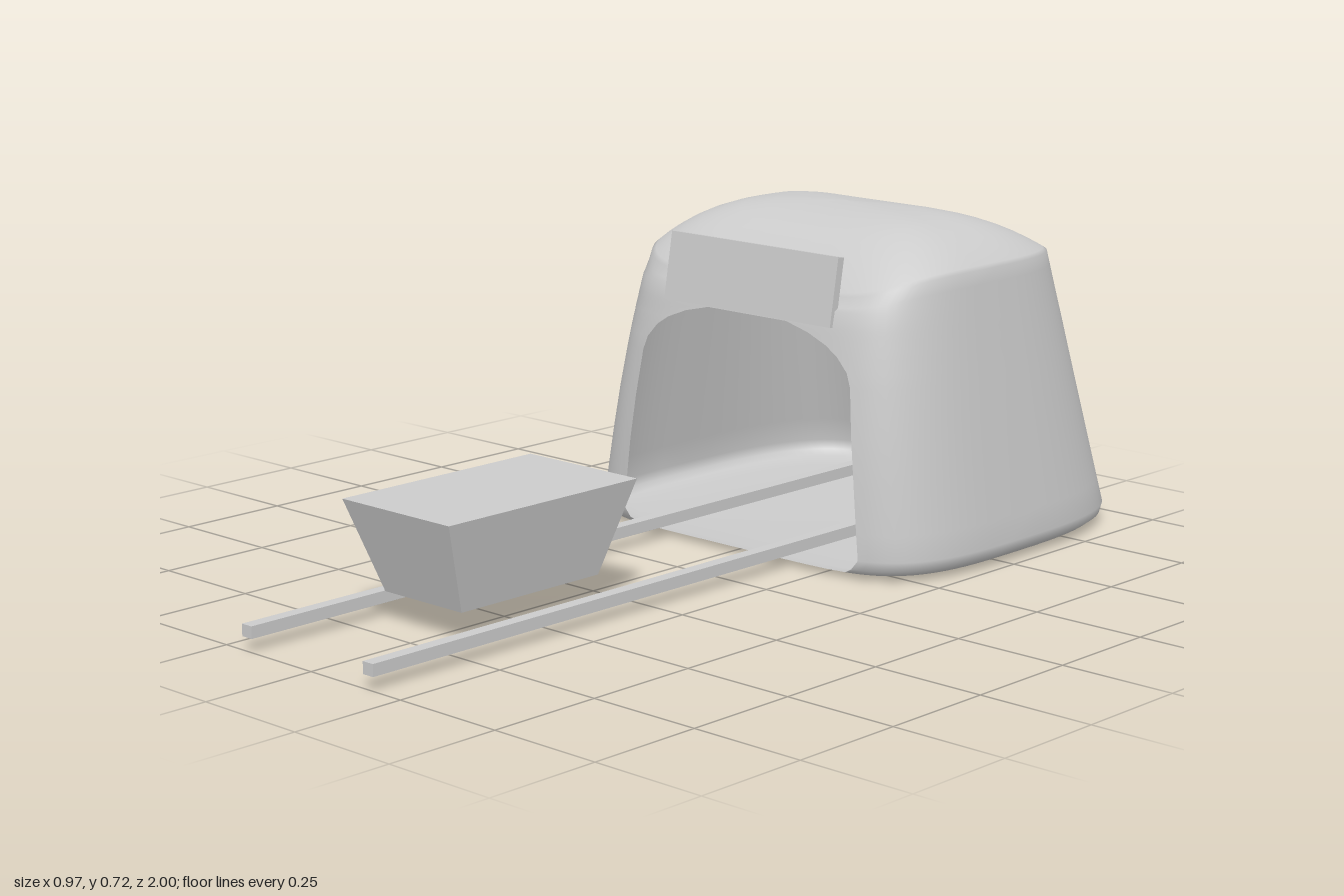
import * as THREE from 'three';

const grey = new THREE.MeshStandardMaterial({ color: 0xcccccc, side: THREE.DoubleSide });
const ZC = -0.5175; // z of the shelter's axis

function add(parent, name, geometry, x, y, z) {
  const mesh = new THREE.Mesh(geometry, grey);
  mesh.name = name;
  mesh.position.set(x, y, z);
  parent.add(mesh);
  return mesh;
}

// Half width of the doorway at each height: [y, w]
const door = [[0, 0.29], [0.022, 0.315], [0.045, 0.33], [0.2, 0.315], [0.3, 0.303], [0.4, 0.291],
  [0.43, 0.28], [0.46, 0.253], [0.48, 0.222], [0.5, 0.172], [0.515, 0.11]];
const DOOR_TOP = 0.515, DOOR_X = 0.02;
function doorWidth(y) {
  for (let i = 1; i < door.length; i++) {
    const [y0, w0] = door[i - 1], [y1, w1] = door[i];
    if (y <= y1) return w0 + (w1 - w0) * (y - y0) / (y1 - y0);
  }
  return door.at(-1)[1];
}

// Rounded shelter: superellipse rings from the floor centre to the roof centre, with a doorway left open
function shelterGeometry() {
  const ARC = 72, PANEL = 12, N = ARC + PANEL;
  const rows = []; // t: height on the wall, s: ring scale, y: base height
  for (const [s, y] of [[0, 0], [0.3, 0.001], [0.6, 0.003], [0.85, 0.006], [0.96, 0.012], [0.99, 0.024]])
    rows.push({ t: 0, s, y });
  for (const y of [0.045, 0.1, 0.2, 0.3, 0.4, 0.43, 0.46, 0.48, 0.5, DOOR_TOP, 0.55, 0.59, 0.62])
    rows.push({ t: (y - 0.045) / 0.575, s: 1, y });
  for (const s of [0.98, 0.95, 0.9, 0.83, 0.75, 0.65, 0.55, 0.4, 0.2, 0])
    rows.push({ t: 1, s, y: 0.62, roof: true });

  const pos = [], index = [];
  for (const { t, s, y, roof } of rows) {
    const a = 0.487 - 0.09 * t, cx = 0.0175 * t;
    const front = -0.152 - 0.063 * t ** 2.5 - ZC, back = ZC + 0.997 - 0.175 * t;
    const w = doorWidth(y);
    const angleAt = x => Math.acos(Math.sign(x) * Math.abs(x / a) ** 3);
    const start = angleAt(DOOR_X + w - cx), end = angleAt(DOOR_X - w - cx) - 2 * Math.PI;
    for (let j = 0; j < N; j++) {
      let X, Z;
      if (j <= ARC) {
        const th = start + (end - start) * j / ARC, c = Math.cos(th), n = Math.sin(th);
        X = Math.sign(c) * Math.abs(c) ** (1 / 3);
        Z = Math.sign(n) * Math.abs(n) ** (2 / 3);
      } else {
        X = (DOOR_X - w + 2 * w * (j - ARC) / PANEL - cx) / a;
        Z = Math.cbrt(1 - X ** 6);
      }
      X *= s;
      Z *= s;
      // Front edge of the roof dips a little
      let h = y - 0.045 * t ** 4 * Math.max(0, Z) ** 4 * (y > 0.55 ? 1 : 0);
      if (roof) h += 0.097 * (1 - (X ** 6 + Math.abs(Z) ** 3) ** 0.66);
      pos.push(cx + a * X, h, ZC + Z * (Z > 0 ? front : back));
    }
  }
  for (let i = 0; i < rows.length - 1; i++) {
    const open = rows[i].y >= 0.012 && rows[i + 1].y <= DOOR_TOP;
    for (let j = 0; j < (open ? ARC : N); j++) {
      const k = (j + 1) % N, p = i * N, q = p + N;
      index.push(p + j, p + k, q + k, p + j, q + k, q + j);
    }
  }
  const g = new THREE.BufferGeometry();
  g.setAttribute('position', new THREE.Float32BufferAttribute(pos, 3));
  g.setIndex(index);
  g.computeVertexNormals();
  return g;
}

// Box whose floor is smaller than its top
function cartGeometry() {
  const g = new THREE.BoxGeometry(0.305, 0.193, 0.51).toNonIndexed();
  const p = g.attributes.position;
  for (let i = 0; i < p.count; i++)
    if (p.getY(i) < 0) p.setXYZ(i, p.getX(i) * 0.72, p.getY(i), p.getZ(i) * 0.73);
  g.computeVertexNormals();
  return g;
}

export function createModel() {
  const model = new THREE.Group();
  model.name = 'tunnelWithCart';

  add(model, 'shelter', shelterGeometry(), 0, 0, 0);

  // Board leaning back above the doorway
  const board = add(model, 'signBoard', new THREE.BoxGeometry(0.468, 0.146, 0.018), 0.019, 0.588, -0.208);
  board.rotation.x = -0.17;

  // Rails running from the open end to the back wall
  for (const [name, x] of [['rightRail', -0.187], ['leftRail', 0.162]])
    add(model, name, new THREE.BoxGeometry(0.028, 0.025, 1.95), x, 0.04, 0.025);

  add(model, 'cart', cartGeometry(), -0.027, 0.1615, 0.505);
  return model;
}
